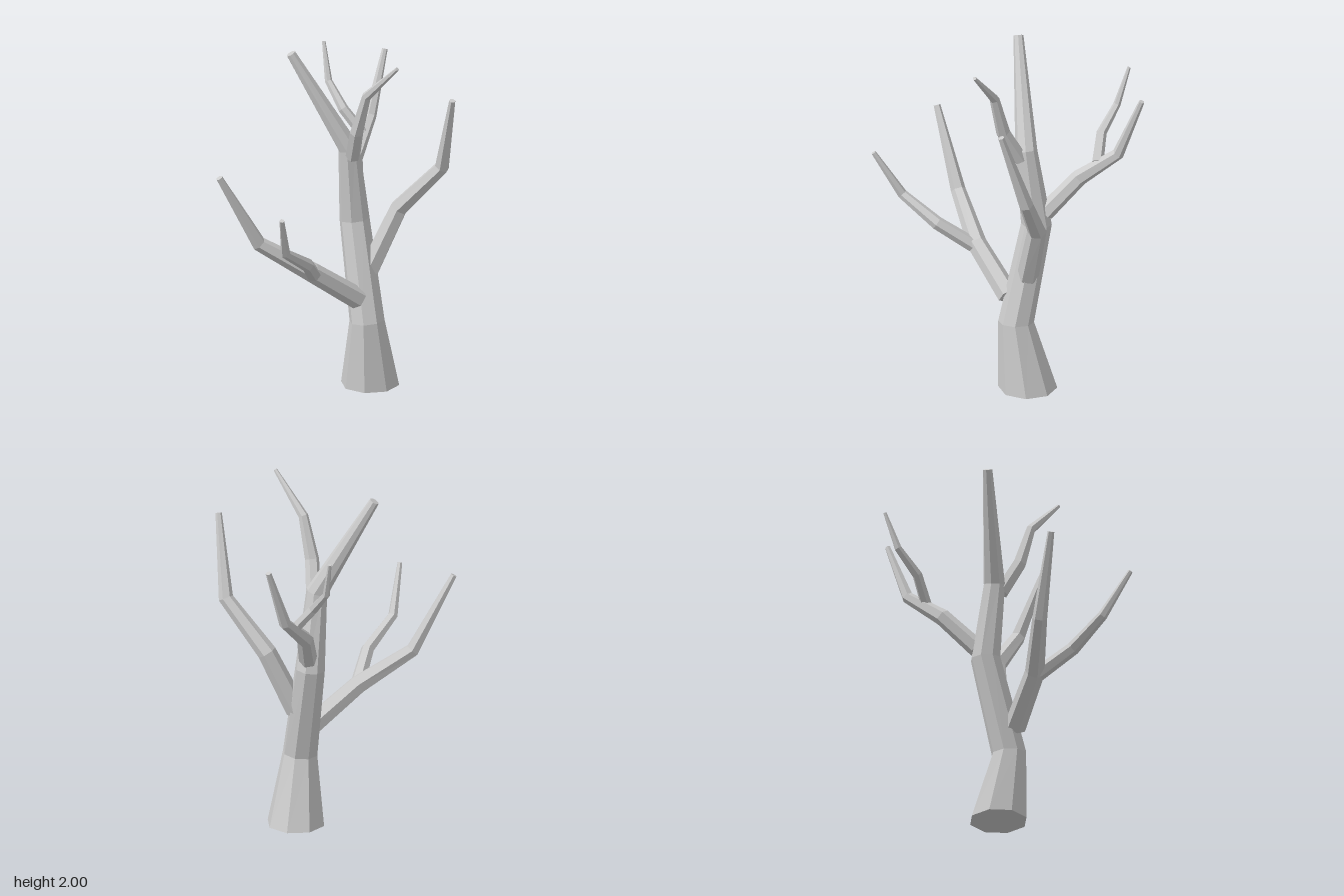
import * as THREE from 'three';

const bark = new THREE.MeshStandardMaterial({ color: 0xcccccc, flatShading: true });

// Faceted limb: rings of `sides` corners swept along points [x, y, z, radius], capped at both ends.
function limb(name, points, sides, startDir) {
  const centres = points.map(p => new THREE.Vector3(p[0], p[1], p[2]));
  const last = centres.length - 1;
  const dirs = centres.slice(1).map((c, i) => c.clone().sub(centres[i]).normalize());
  const tangents = centres.map((c, i) => {
    if (i === 0) return startDir ? startDir.clone() : dirs[0].clone();
    if (i === last) return dirs[last - 1].clone();
    return dirs[i - 1].clone().add(dirs[i]).normalize();
  });

  // carry one frame along the limb so the facets do not twist
  const side = new THREE.Vector3(0, 0, 1);
  if (Math.abs(tangents[0].z) > 0.8) side.set(1, 0, 0);
  const positions = [];
  const index = [];
  centres.forEach((c, i) => {
    const t = tangents[i];
    side.addScaledVector(t, -side.dot(t)).normalize();
    const other = new THREE.Vector3().crossVectors(t, side);
    for (let k = 0; k < sides; k++) {
      const a = (k / sides) * Math.PI * 2;
      const v = c.clone()
        .addScaledVector(side, Math.cos(a) * points[i][3])
        .addScaledVector(other, Math.sin(a) * points[i][3]);
      positions.push(v.x, v.y, v.z);
    }
  });
  for (let i = 0; i < last; i++) {
    for (let k = 0; k < sides; k++) {
      const a = i * sides + k;
      const b = i * sides + ((k + 1) % sides);
      index.push(a, b, b + sides, a, b + sides, a + sides);
    }
  }
  // end caps
  const top = last * sides;
  for (let k = 1; k < sides - 1; k++) {
    index.push(0, k + 1, k, top, top + k, top + k + 1);
  }

  const indexed = new THREE.BufferGeometry();
  indexed.setAttribute('position', new THREE.Float32BufferAttribute(positions, 3));
  indexed.setIndex(index);
  const geometry = indexed.toNonIndexed();
  geometry.computeVertexNormals();
  const mesh = new THREE.Mesh(geometry, bark);
  mesh.name = name;
  return mesh;
}

export function createModel() {
  const tree = new THREE.Group();
  tree.name = 'bareTree';

  // trunk, flared at the foot and running on into the top limb
  tree.add(limb('trunk', [
    [0.13, 0, -0.12, 0.165],
    [0.125, 0.4, -0.055, 0.1],
    [0.033, 0.96, -0.163, 0.086],
    [0.012, 1.4, -0.105, 0.062],
    [-0.305, 1.96, -0.043, 0.028],
  ], 8, new THREE.Vector3(0, 1, 0)));

  // main branches and the twigs that fork from them
  const branches = {
    rightBranch: [
      [0.085, 0.54, -0.01, 0.062],
      [-0.14, 0.75, 0.18, 0.056],
      [-0.42, 0.945, 0.30, 0.042],
      [-0.62, 1.37, 0.43, 0.019],
    ],
    rightTwig: [
      [-0.13, 0.745, 0.2, 0.042],
      [-0.125, 0.875, 0.4, 0.038],
      [-0.21, 1.01, 0.6, 0.028],
      [-0.2, 1.265, 0.76, 0.014],
    ],
    leftBranch: [
      [0.125, 0.68, -0.12, 0.062],
      [0.28, 1.03, -0.18, 0.054],
      [0.535, 1.31, -0.135, 0.042],
      [0.62, 1.76, 0, 0.018],
    ],
    backBranch: [
      [0.03, 1.03, -0.21, 0.052],
      [-0.013, 1.23, -0.4, 0.047],
      [0.035, 1.405, -0.62, 0.034],
      [0.09, 1.755, -0.755, 0.016],
    ],
    backTwig: [
      [0.01, 1.34, -0.505, 0.032],
      [-0.1, 1.47, -0.52, 0.029],
      [-0.2, 1.6, -0.6, 0.021],
      [-0.24, 1.81, -0.665, 0.01],
    ],
    topBranch: [
      [0.04, 1.36, -0.075, 0.043],
      [0.08, 1.54, 0.02, 0.04],
      [0.145, 1.775, 0.065, 0.028],
      [0.34, 1.99, 0.165, 0.011],
    ],
  };
  for (const [name, points] of Object.entries(branches)) tree.add(limb(name, points, 6));

  return tree;
}
